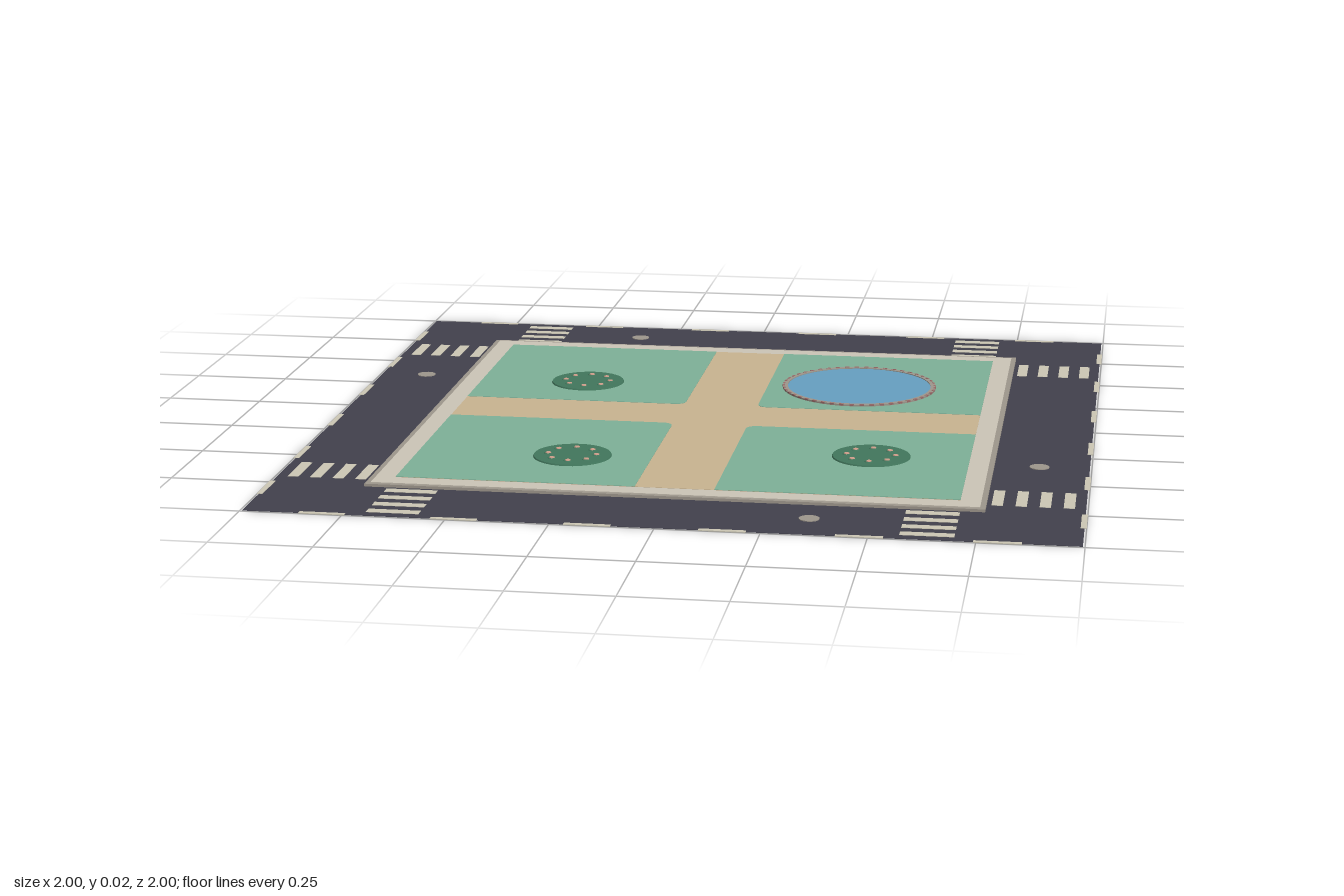
import * as THREE from 'three';

const mat = (name, color) => {
  const m = new THREE.MeshStandardMaterial({ color });
  m.name = name;
  return m;
};

export function createModel() {
  const model = new THREE.Group();
  const asphalt = mat('asphalt', 0x41404c);
  const paint = mat('road paint', 0xccc7b4);
  const kerbStone = mat('kerb stone', 0x9d968b);
  const paving = mat('paving', 0xcbc4b6);
  const sand = mat('sand path', 0xc8b390);
  const grass = mat('grass', 0x7eb097);
  const water = mat('water', 0x669fc0);
  const leaf = mat('leaf', 0x41765c);
  const petal = mat('petal', 0xd0a08c);
  const pebble = mat('pebble', 0x9a6a68);

  const add = (name, geo, material, x, y, z, parent = model) => {
    const m = new THREE.Mesh(geo, material);
    m.name = name;
    m.position.set(x, y, z);
    parent.add(m);
    return m;
  };
  // Box given by its bottom and top heights
  const slab = (name, material, w, d, y0, y1, x = 0, z = 0, parent = model) =>
    add(name, new THREE.BoxGeometry(w, y1 - y0, d), material, x, (y0 + y1) / 2, z, parent);
  const disc = (name, material, r0, r1, y0, y1, x, z, n = 32, parent = model) =>
    add(name, new THREE.CylinderGeometry(r1, r0, y1 - y0, n), material, x, (y0 + y1) / 2, z, parent);

  // Ground layers
  slab('road', asphalt, 1.99, 1.99, 0, 0.001);
  slab('kerb', kerbStone, 1.516, 1.516, 0.0005, 0.008);
  slab('pavement', paving, 1.49, 1.49, 0.002, 0.0095);
  slab('paths', sand, 1.39, 1.39, 0.003, 0.0102);

  // Four lawns, rounded at the corner facing the crossing
  const a = 0.098, b = 0.695, r = 0.03;
  for (const sx of [-1, 1]) for (const sz of [-1, 1]) {
    const s = new THREE.Shape();
    s.moveTo(sx * (a + r), sz * a);
    s.lineTo(sx * b, sz * a);
    s.lineTo(sx * b, sz * b);
    s.lineTo(sx * a, sz * b);
    s.lineTo(sx * a, sz * (a + r));
    s.quadraticCurveTo(sx * a, sz * a, sx * (a + r), sz * a);
    const geo = new THREE.ExtrudeGeometry(s, { depth: 0.002, bevelEnabled: false });
    geo.rotateX(-Math.PI / 2);
    add('lawn', geo, grass, 0, 0.009, 0);
  }

  // Crossings: two on each side of the block
  const markings = new THREE.Group();
  markings.name = 'roadMarkings';
  model.add(markings);
  for (let side = 0; side < 4; side++) {
    const g = new THREE.Group();
    g.name = 'sideMarkings';
    g.rotation.y = side * Math.PI / 2;
    markings.add(g);
    for (const x of [-0.635, 0.635])
      for (let i = 0; i < 4; i++)
        slab('crossingStripe', paint, 0.128, 0.027, 0.0005, 0.002, x, 0.783 + i * 0.0573, g);
    // Dashed line along the outer edge
    for (let i = 0; i < 6; i++)
      slab('edgeDash', paint, 0.112, 0.014, 0.0002, 0.002, -0.8 + i * 0.32, 0.993, g);
  }

  // Manhole covers
  for (const [x, z] of [[-0.35, -0.87], [-0.87, -0.35], [0.87, 0.35], [0.35, 0.87]])
    disc('manholeCover', kerbStone, 0.025, 0.025, 0.0005, 0.003, x, z, 16);

  // Pond with a stone rim and a ring of pebbles
  const pond = new THREE.Group();
  pond.name = 'pond';
  pond.position.set(0.348, 0, -0.348);
  model.add(pond);
  const profile = [[0.21, 0.01], [0.21, 0.0155], [0.196, 0.0155], [0.196, 0.01]];
  add('pondRim', new THREE.LatheGeometry(profile.map(p => new THREE.Vector2(...p)), 48).toNonIndexed(),
    kerbStone, 0, 0, 0, pond).geometry.computeVertexNormals();
  disc('pondWater', water, 0.197, 0.197, 0.009, 0.0135, 0, 0, 48, pond);
  for (let i = 0; i < 48; i++) {
    const t = i / 48 * Math.PI * 2;
    const p = slab('rimPebble', pebble, 0.006, 0.012, 0.012, 0.0165,
      Math.cos(t) * 0.207, Math.sin(t) * 0.207, pond);
    p.rotation.y = -t;
  }

  // Round flower beds, each with a ring of eight blossoms
  for (const [x, z] of [[-0.4, -0.3], [-0.3, 0.445], [0.447, 0.345]]) {
    const bed = new THREE.Group();
    bed.name = 'flowerBed';
    bed.position.set(x, 0, z);
    model.add(bed);
    disc('shrub', leaf, 0.1, 0.098, 0.01, 0.0145, 0, 0, 32, bed);
    for (let i = 0; i < 8; i++) {
      const t = i / 8 * Math.PI * 2;
      const fx = Math.cos(t) * 0.062, fz = Math.sin(t) * 0.062;
      disc('blossomLeaves', leaf, 0.012, 0.01, 0.014, 0.016, fx, fz, 8, bed);
      disc('blossom', petal, 0.008, 0.007, 0.0155, 0.018, fx, fz, 6, bed);
    }
  }
  return model;
}
